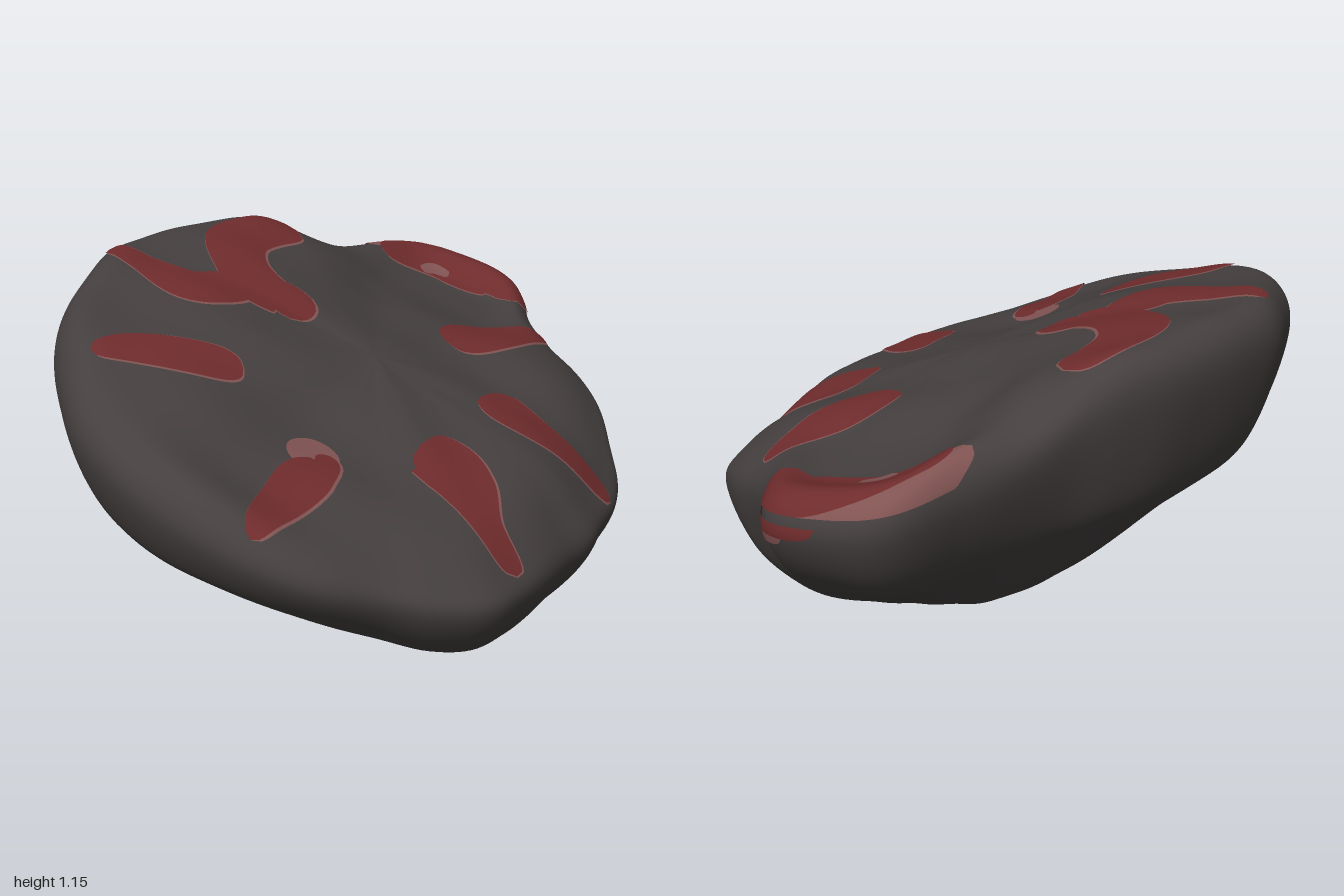
import * as THREE from 'three';
import { mergeVertices } from 'three/addons/utils/BufferGeometryUtils.js';

const TAU = Math.PI * 2;

// outline radius every 10 degrees, from +x towards +z
const RADIUS = [
  0.835, 0.83, 0.82, 0.8, 0.795, 0.777, 0.755, 0.76, 0.757, 0.79, 0.845, 0.914,
  0.925, 0.925, 0.97, 0.99, 0.995, 1.0, 1.0, 1.0, 0.985, 0.98, 0.962, 0.938,
  0.934, 0.9, 0.873, 0.86, 0.843, 0.835, 0.875, 0.965, 1.105, 1.11, 1.06, 0.89,
];

// spoke heights every 20 degrees: inner top, mid top, shoulder, rim, flank, lower flank, belly
const SPOKES = [
  [0.81, 0.76, 0.70, 0.60, 0.38, 0.25, 0.12],
  [0.78, 0.71, 0.62, 0.52, 0.34, 0.23, 0.10],
  [0.76, 0.62, 0.50, 0.41, 0.29, 0.19, 0.09],
  [0.75, 0.63, 0.50, 0.41, 0.28, 0.17, 0.085],
  [0.75, 0.66, 0.53, 0.42, 0.29, 0.165, 0.085],
  [0.75, 0.64, 0.53, 0.45, 0.31, 0.17, 0.085],
  [0.755, 0.67, 0.58, 0.50, 0.35, 0.215, 0.10],
  [0.775, 0.73, 0.69, 0.60, 0.46, 0.31, 0.135],
  [0.83, 0.82, 0.82, 0.71, 0.52, 0.395, 0.17],
  [0.92, 0.94, 0.92, 0.80, 0.55, 0.44, 0.19],
  [0.98, 1.03, 1.03, 0.87, 0.59, 0.47, 0.21],
  [1.01, 1.08, 1.09, 0.95, 0.65, 0.50, 0.23],
  [1.02, 1.11, 1.14, 1.00, 0.68, 0.51, 0.235],
  [1.015, 1.10, 1.12, 1.00, 0.68, 0.50, 0.23],
  [0.98, 1.07, 1.10, 0.98, 0.67, 0.49, 0.225],
  [0.93, 0.99, 0.96, 0.85, 0.62, 0.45, 0.21],
  [0.87, 0.84, 0.89, 0.78, 0.58, 0.42, 0.20],
  [0.83, 0.77, 0.80, 0.71, 0.54, 0.36, 0.17],
];
const CENTRE = 0.87;
// matching radial fractions, with one guard value at each end
const FRACTIONS = [-0.4, 0, 0.4, 0.75, 0.93, 1, 0.92, 0.75, 0.45, 0, -0.45];

function catmull(a, b, c, d, t) {
  return b + 0.5 * t * (c - a + t * (2 * a - 5 * b + 4 * c - d + t * (3 * (b - c) + d - a)));
}

// smooth value of a closed table at an angle
function around(count, get, angle) {
  const p = (((angle / TAU) % 1) + 1) % 1 * count;
  const i = Math.floor(p);
  const at = (k) => get((i + k + count) % count);
  return catmull(at(-1), at(0), at(1), at(2), p - i);
}
const radius = (angle) => around(36, (i) => RADIUS[i], angle);
const spoke = (col, angle) => around(18, (i) => SPOKES[i][col], angle);

// outline without its notch, for the underside
function softRadius(angle) {
  const offsets = [-0.7, -0.35, 0, 0.35, 0.7];
  return offsets.reduce((sum, o) => sum + radius(angle + o), 0) / offsets.length;
}

// smooth value along a spoke, t = 0 (top centre) .. 4 (rim) .. 8 (lowest point)
function along(list, t) {
  const i = Math.min(Math.floor(t), 7);
  return catmull(list[i], list[i + 1], list[i + 2], list[i + 3], t - i);
}

function spokeHeights(angle) {
  const h = [0, 1, 2, 3, 4, 5, 6].map((c) => spoke(c, angle));
  return [spoke(0, angle + Math.PI), CENTRE, ...h, 0, -h[6]];
}

// shallow lumps and a dent on the upper face
function lumps(x, z, t) {
  const fade = t < 3 ? 1 : Math.max(0, 4 - t);
  const dent = Math.exp(-((x - 0.3) ** 2 + (z + 0.42) ** 2) / 0.0144);
  return fade * (0.006 * Math.sin(9 * x + 2) * Math.sin(8 * z + 1)
    + 0.004 * Math.sin(17 * x - 6 * z) - 0.025 * dent);
}

// height of the upper face at x, z
function topHeight(x, z) {
  const angle = Math.atan2(z, x);
  const s = Math.min(1, Math.hypot(x, z) / radius(angle));
  let lo = 0, hi = 4;
  for (let i = 0; i < 24; i++) {
    const mid = (lo + hi) / 2;
    if (along(FRACTIONS, mid) < s) lo = mid; else hi = mid;
  }
  return along(spokeHeights(angle), lo) + lumps(x, z, lo);
}

// point of the whole rock
function surface(angle, t) {
  const s = along(FRACTIONS, t);
  const keep = t < 4 ? 1 : THREE.MathUtils.smoothstep(s, 0.5, 0.98);
  const r = s * THREE.MathUtils.lerp(softRadius(angle), radius(angle), keep);
  const x = Math.cos(angle) * r, z = Math.sin(angle) * r;
  const y = along(spokeHeights(angle), t) + (t < 4 ? lumps(x, z, t) : 0);
  return [x + (t > 4 ? 0.12 * (1 - s) : 0), y, z];
}

function makeGeometry(pos, index) {
  const g = new THREE.BufferGeometry();
  g.setAttribute('position', new THREE.Float32BufferAttribute(pos, 3));
  g.setIndex(index);
  return g;
}

function rockGeometry() {
  const sides = 216, rings = 96;
  const pos = [], index = [];
  for (let i = 0; i <= rings; i++) {
    for (let j = 0; j < sides; j++) {
      pos.push(...surface((j / sides) * TAU, (i / rings) * 8));
      if (i === rings) continue;
      const a = i * sides + j, b = i * sides + (j + 1) % sides;
      index.push(a, b, a + sides, b, b + sides, a + sides);
    }
  }
  const welded = mergeVertices(makeGeometry(pos, index), 1e-5);
  welded.computeVertexNormals();
  return welded;
}

// thin painted patch on the flank just under the rim, angles in degrees
function flankGeometry(from, to, t0, t1) {
  const n = 24, m = 8, pos = [], index = [];
  for (let i = 0; i <= m; i++) {
    for (let j = 0; j <= n; j++) {
      const angle = THREE.MathUtils.degToRad(from + (to - from) * j / n);
      const taper = Math.sqrt(Math.max(0, 1 - (2 * j / n - 1) ** 4));
      const [x, y, z] = surface(angle, t0 + (t1 - t0) * taper * i / m);
      pos.push(x + 0.006 * Math.cos(angle), y - 0.003, z + 0.006 * Math.sin(angle));
      if (i === m || j === n) continue;
      const a = i * (n + 1) + j, c = a + n + 1;
      index.push(a, a + 1, c, a + 1, c + 1, c);
    }
  }
  const g = makeGeometry(pos, index);
  g.computeVertexNormals();
  return g;
}

// thin painted strip laid on the upper face; path points are [x, z, half width]
function strokeGeometry(path, lift, grow = 0, shift = 0) {
  const curve = new THREE.CatmullRomCurve3(path.map(([x, z, w]) => new THREE.Vector3(x, w, z)));
  const n = 48, m = 12, e = 0.004;
  const pos = [], nor = [], index = [];
  for (let i = 0; i <= n; i++) {
    const u = i / n;
    const p = curve.getPoint(u), d = curve.getTangent(u);
    const len = Math.hypot(d.x, d.z) || 1;
    const w = (p.y + grow) * Math.sqrt(Math.max(0, 1 - Math.abs(2 * u - 1) ** 14));
    for (let j = 0; j <= m; j++) {
      const k = (j / m * 2 - 1) * w;
      let x = p.x + shift - d.z / len * k, z = p.z + shift + d.x / len * k;
      const limit = 0.99 * radius(Math.atan2(z, x)) / Math.hypot(x, z);
      if (limit < 1) { x *= limit; z *= limit; }
      const normal = new THREE.Vector3(
        topHeight(x - e, z) - topHeight(x + e, z), 2 * e,
        topHeight(x, z - e) - topHeight(x, z + e)).normalize();
      pos.push(x + normal.x * lift, topHeight(x, z) + normal.y * lift, z + normal.z * lift);
      nor.push(...normal.toArray());
      if (i === n || j === m) continue;
      const a = i * (m + 1) + j, c = a + m + 1;
      index.push(a, a + 1, c, a + 1, c + 1, c);
    }
  }
  const g = makeGeometry(pos, index);
  g.setAttribute('normal', new THREE.Float32BufferAttribute(nor, 3));
  return g;
}

const MARKS = {
  leftSideMark: [[-0.84, -0.28, 0.035], [-0.72, -0.23, 0.07], [-0.6, -0.14, 0.08], [-0.52, -0.08, 0.07], [-0.47, -0.05, 0.04]],
  leftFrontMark: [[-0.84, 0.47, 0.03], [-0.7, 0.41, 0.06], [-0.55, 0.35, 0.075], [-0.46, 0.32, 0.04], [-0.45, 0.28, 0.02]],
  frontMark: [[-0.175, 0.81, 0.045], [-0.17, 0.68, 0.055], [-0.13, 0.53, 0.11], [-0.12, 0.43, 0.12], [-0.14, 0.37, 0.08]],
  rightFrontMark: [[0.45, 0.61, 0.035], [0.38, 0.52, 0.06], [0.31, 0.4, 0.09], [0.27, 0.29, 0.095], [0.26, 0.24, 0.06]],
  rightSideMark: [[0.79, -0.02, 0.035], [0.68, -0.02, 0.06], [0.55, -0.02, 0.09], [0.42, -0.03, 0.09], [0.34, -0.04, 0.06]],
  backArmMark: [[-0.48, -0.74, 0.035], [-0.44, -0.6, 0.055], [-0.36, -0.42, 0.1], [-0.22, -0.4, 0.09]],
  backHookMark: [[0.22, -0.66, 0.08], [0.08, -0.67, 0.09], [-0.06, -0.63, 0.1], [-0.14, -0.5, 0.09], [-0.16, -0.35, 0.1], [-0.12, -0.28, 0.09], [-0.17, -0.21, 0.04]],
  cornerMark: [[0.58, -0.64, 0.04], [0.7, -0.61, 0.075], [0.8, -0.55, 0.11], [0.87, -0.43, 0.12], [0.9, -0.32, 0.1], [0.85, -0.21, 0.05]],
};

// faded patches beyond the red strokes
const FADED = {
  cornerFadedRim: [[0.55, -0.68, 0.03], [0.67, -0.69, 0.045], [0.8, -0.69, 0.06], [0.9, -0.61, 0.07], [0.95, -0.52, 0.06], [0.98, -0.42, 0.03]],
  leftFrontFadedSpot: [[-0.545, 0.275, 0.03], [-0.51, 0.275, 0.065], [-0.47, 0.275, 0.075], [-0.43, 0.275, 0.065], [-0.395, 0.275, 0.03]],
};

export function createModel() {
  const group = new THREE.Group();
  const material = (name, color, side = THREE.FrontSide) => {
    const m = new THREE.MeshStandardMaterial({ color, side });
    m.name = name;
    return m;
  };
  const stone = material('dark stone', 0x453f3f);
  const red = material('dull red', 0x702c2d, THREE.DoubleSide);
  const pale = material('faded red', 0x815453, THREE.DoubleSide);
  const add = (name, geometry, mat) => {
    const mesh = new THREE.Mesh(geometry, mat);
    mesh.name = name;
    group.add(mesh);
  };

  add('rock', rockGeometry(), stone);
  // red strokes, each over a slightly shifted faded edge
  for (const [name, path] of Object.entries(MARKS)) {
    add(name, strokeGeometry(path, 0.006), red);
    add(name + 'Edge', strokeGeometry(path, 0.0035, 0.005, 0.003), pale);
  }
  for (const [name, path] of Object.entries(FADED)) add(name, strokeGeometry(path, 0.004), pale);
  // the corner stroke wraps a little over the rim
  add('cornerWrap', flankGeometry(330, 348, 3.8, 4.1), red);
  add('cornerWrapEdge', flankGeometry(336, 349, 4.1, 4.28), pale);
  // small faded patch in the hollow of the corner stroke
  add('cornerFadedHollow', strokeGeometry([[0.69, -0.54, 0.02], [0.74, -0.53, 0.03], [0.77, -0.48, 0.02]], 0.0085), pale);
  return group;
}
